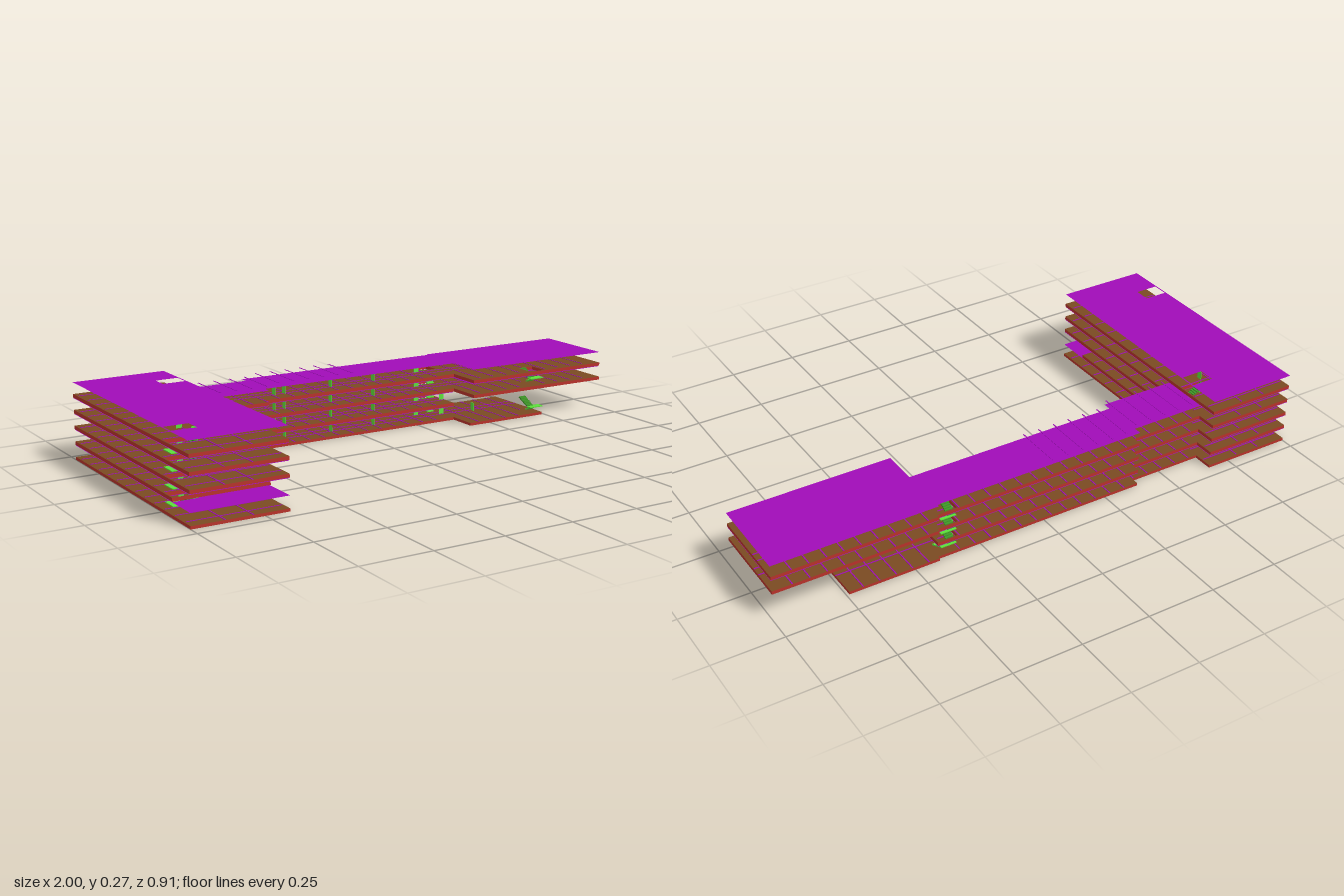
import * as THREE from 'three';

const mat = (color, side = THREE.FrontSide) =>
  new THREE.MeshStandardMaterial({ color, side, flatShading: true });
const brown = mat(0x7a4a22), red = mat(0xb8322a);
const purple = mat(0xa00cb8, THREE.DoubleSide), blue = mat(0x4a30d8);
const green = mat(0x5ce03a), stairGreen = mat(0x3f9a28);

const PITCH = 0.0553, SLAB = 0.012;
const floorY = (level) => 0.01 + level * PITCH;

// Stair wells as [x0, x1, z0, z1]
const wells = {
  frontWing: [-0.995, -0.91, 0.268, 0.328],
  backWing: [-0.752, -0.67, -0.328, -0.268],
  middle: [0.335, 0.4, -0.405, -0.345],
  end: [0.675, 0.737, -0.182, -0.108],
};

const toPoints = (list) => list.map(([x, z]) => new THREE.Vector2(x, -z));

// Floor plan from corner points, with stair wells cut out
function plan(outline, holes) {
  const shape = new THREE.Shape(toPoints(outline));
  for (const [x0, x1, z0, z1] of holes) {
    shape.holes.push(new THREE.Path(toPoints([[x0, z0], [x0, z1], [x1, z1], [x1, z0]])));
  }
  return shape;
}

// Long bar of three parts; endX and endZ set the reach of the last part
function barEnd(endX, endZ) {
  return endX ? [[0.41, -0.42], [endX, -0.42], [endX, endZ], [0.41, endZ]] : [];
}
const barOutline = (endX, endZ) => [
  [-0.665, -0.38], [-0.385, -0.38], [-0.385, -0.41], [0.41, -0.41],
  ...barEnd(endX, endZ),
  [0.41, -0.23], [-0.385, -0.23], [-0.385, -0.2], [-0.665, -0.2],
];
const wingOutline = (front) => [[-0.665, front], [-1, front], [-1, -0.455], [-0.665, -0.455]];
const fullOutline = (front, endX, endZ) => [...barOutline(endX, endZ), ...wingOutline(front)];

export function createModel() {
  const root = new THREE.Group();

  const add = (name, geometry, material, parent = root) => {
    const mesh = new THREE.Mesh(geometry, material);
    mesh.name = name;
    parent.add(mesh);
    return mesh;
  };
  const box = (name, material, w, h, d, x, y, z, parent) => {
    const mesh = add(name, new THREE.BoxGeometry(w, h, d), material, parent);
    mesh.position.set(x, y + h / 2, z);
    return mesh;
  };
  const sheet = (name, shape, y) => {
    const geometry = new THREE.ShapeGeometry(shape);
    geometry.rotateX(-Math.PI / 2);
    add(name, geometry, purple).position.y = y;
  };

  // Floors: slab outline and wells for every level
  const { frontWing, backWing, middle, end } = wells;
  const levels = [
    { outline: fullOutline(0.455, 0.74, -0.12), holes: [], reach: 0.74 },
    { outline: fullOutline(0.33), holes: [frontWing, backWing, middle], reach: 0.41,
      ceiling: fullOutline(0.455) },
    { outline: fullOutline(0.455, 1, -0.1), holes: [frontWing, backWing, middle], reach: 1,
      ceiling: fullOutline(0.455) },
    { outline: fullOutline(0.455, 1, -0.1), holes: [frontWing, backWing, middle, end], reach: 1,
      ceiling: fullOutline(0.455, 1, -0.1) },
    { outline: wingOutline(0.455), holes: [frontWing, backWing], reach: 0,
      ceiling: wingOutline(0.455) },
  ];

  levels.forEach(({ outline, holes, reach, ceiling }, i) => {
    const thick = i ? SLAB : 0.01;
    const geometry = new THREE.ExtrudeGeometry(plan(outline, holes), { depth: thick, bevelEnabled: false });
    geometry.rotateX(-Math.PI / 2);
    add('floorSlab', geometry, [brown, red]).position.y = floorY(i) - thick;
    if (ceiling) sheet('ceiling', plan(ceiling, holes), floorY(i) - SLAB - 0.002);

    // Room joints on the floor
    const joints = new THREE.Group();
    joints.name = 'roomJoints';
    root.add(joints);
    const strip = (w, d, x, z) => box('joint', purple, w, 0.0012, d, x, floorY(i), z, joints);
    const front = i === 1 ? 0.33 : 0.455;
    for (let z = -0.415; z < front - 0.01; z += 0.075) strip(0.325, 0.004, -0.832, z);
    for (const x of [-0.885, -0.79]) strip(0.004, front + 0.45, x, (front - 0.45) / 2);
    for (let x = -0.63; x < reach - 0.01; x += 0.06) {
      if (x > 0.33 && x < 0.4) continue;
      const [z0, z1] = x < -0.385 ? [-0.38, -0.2] : x < 0.41 ? [-0.41, -0.23]
        : [-0.42, x > 0.67 && x < 0.74 ? -0.19 : -0.12];
      strip(0.004, z1 - z0, x, (z0 + z1) / 2);
    }
    if (reach) for (const z of [-0.29, -0.325]) strip(reach + 0.66, 0.004, (reach - 0.66) / 2, z);
  });

  // Roofs
  sheet('wingRoof', plan(wingOutline(0.455), [frontWing, backWing]), 0.272);
  sheet('barRoof', plan(barOutline(1, -0.1), []), 0.217);

  // Stairs: stepped flight up, half landing, stepped flight back
  const RUN = 0.052, STEPS = 7;
  function flightGeometry() {
    const tread = RUN / STEPS, rise = PITCH / 2 / STEPS;
    const shape = new THREE.Shape();
    shape.moveTo(0, 0);
    for (let s = 0; s < STEPS; s++) {
      shape.lineTo(s * tread, (s + 1) * rise);
      shape.lineTo((s + 1) * tread, (s + 1) * rise);
    }
    shape.lineTo(RUN, STEPS * rise - 0.004);
    shape.lineTo(0.005, 0);
    const geometry = new THREE.ExtrudeGeometry(shape, { depth: 0.028, bevelEnabled: false });
    return geometry.translate(0, 0, -0.014);
  }
  const flight = flightGeometry();
  function stair(x, z, turn, side, onLevels, length) {
    for (const level of onLevels) {
      const group = new THREE.Group();
      group.name = 'stair';
      group.position.set(x, floorY(level), z);
      group.rotation.y = turn;
      root.add(group);
      add('lowerFlight', flight, green, group).position.z = side * 0.015;
      const upper = add('upperFlight', flight, stairGreen, group);
      upper.rotation.y = Math.PI;
      upper.position.set(RUN, PITCH / 2, -side * 0.015);
      const depth = length - RUN;
      box('landing', green, depth, 0.003, 0.058, RUN + depth / 2, PITCH / 2 - 0.003, 0, group);
    }
  }
  stair(-0.912, 0.298, Math.PI, 1, [0, 1, 2, 3], 0.085);
  stair(-0.752, -0.298, 0, -1, [0, 1, 2, 3], 0.082);
  stair(0.367, -0.345, Math.PI / 2, 1, [0, 1, 2], 0.06);
  stair(0.706, -0.182, -Math.PI / 2, -1, [0, 2], 0.075);

  // Lift shaft
  box('liftShaft', blue, 0.03, 0.262, 0.03, -0.777, 0.01, -0.345);

  // Doors: thin leaves facing along z or along x
  const doorX = (x, z, level) => box('door', green, 0.02, 0.03, 0.002, x, floorY(level), z);
  const doorZ = (x, z, level) => box('door', green, 0.002, 0.03, 0.02, x, floorY(level), z);
  for (let level = 0; level < 5; level++) {
    [0.27, 0.24, 0.16, 0.06, -0.04, -0.105].forEach((z, k) => doorX(k % 2 ? -0.87 : -0.893, z, level));
    doorX(-0.8, -0.33, level);
    doorZ(-0.91, level === 4 ? 0.32 : -0.16, level);
    doorZ(-0.76, -0.25, level);
    if (level === 4) continue;
    for (const x of [-0.32, -0.28, -0.09, 0.09]) doorZ(x, -0.29, level);
    doorZ(-0.66, -0.22, level);
    doorX(0.305, -0.33, level);
  }
  for (const level of [0, 1]) doorX(0.4, -0.3, level);
  doorX(0.86, -0.26, 3);
  doorZ(0.53, -0.28, 0);
  doorZ(0.82, -0.28, 3);

  return root;
}
